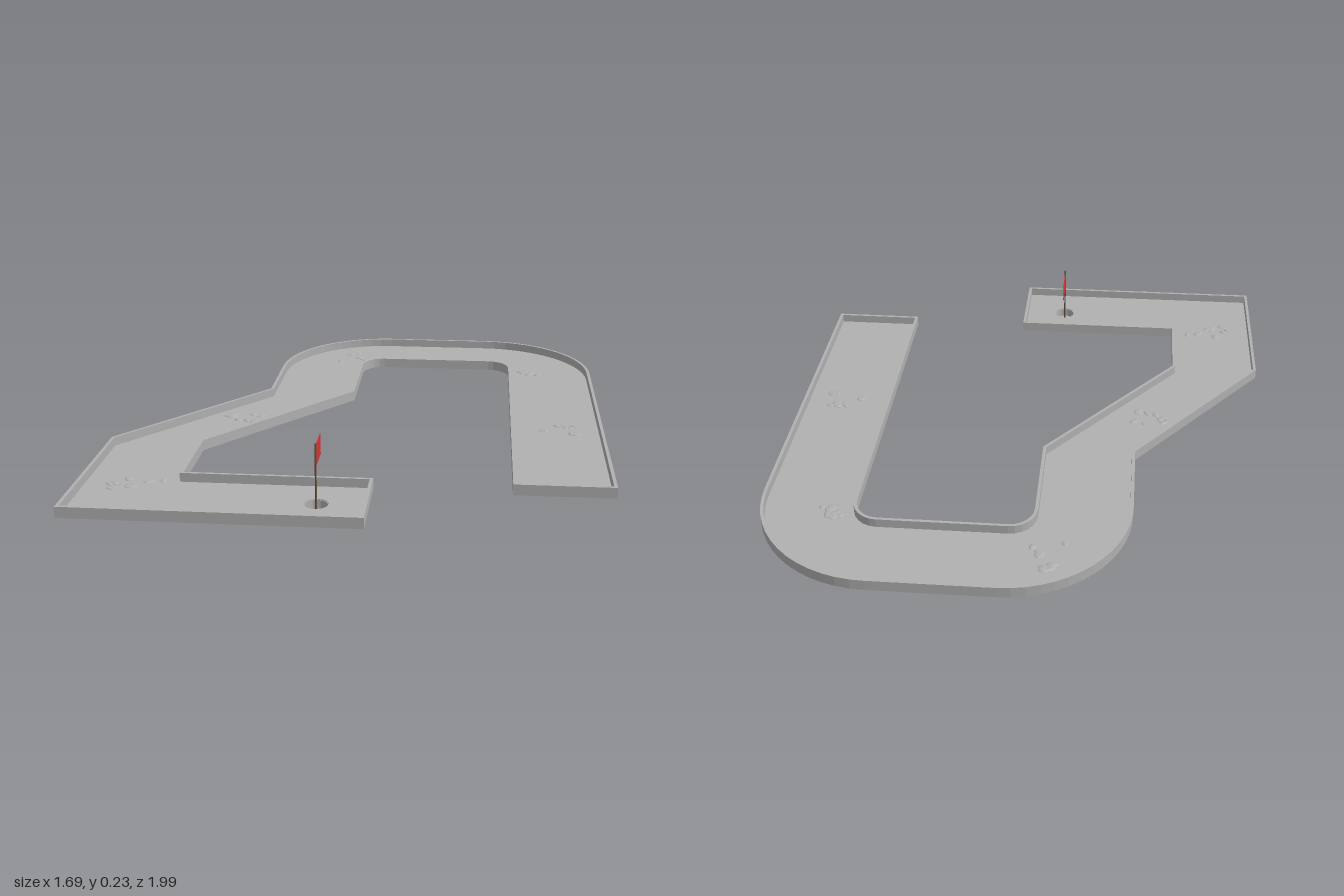
import * as THREE from 'three';
import { toCreasedNormals } from 'three/addons/utils/BufferGeometryUtils.js';

const BASE = 0.03, FLOOR = 0.036, RIM = 0.066, WALL = 0.011;
const CUP = { x: -0.08, z: 0.83, r: 0.04 };

const mat = (name, color, extra = {}) => {
  const m = new THREE.MeshStandardMaterial({ color, ...extra });
  m.name = name;
  return m;
};

// Points on a quarter ellipse, angles in degrees
function arc(cx, cy, rx, ry, from, to, n) {
  return Array.from({ length: n + 1 }, (_, i) => {
    const a = THREE.MathUtils.degToRad(from + (to - from) * i / n);
    return [cx + rx * Math.cos(a), cy + ry * Math.sin(a)];
  });
}

// Move a counter-clockwise outline inwards with mitred corners
function inset(pts, d) {
  return pts.map((p, i) => {
    const a = pts[(i + pts.length - 1) % pts.length];
    const b = pts[(i + 1) % pts.length];
    const u = p.clone().sub(a).normalize(), v = b.clone().sub(p).normalize();
    const n1 = new THREE.Vector2(-u.y, u.x), n2 = new THREE.Vector2(-v.y, v.x);
    const m = n1.clone().add(n2);
    return p.clone().addScaledVector(m, d / (1 + n1.dot(n2)));
  });
}

// Extrude a ground plan (x, -z) upwards between two heights
function slab(shape, y0, y1) {
  const g = new THREE.ExtrudeGeometry(shape, { depth: y1 - y0, bevelEnabled: false, curveSegments: 24 });
  return g.rotateX(-Math.PI / 2).translate(0, y0, 0);
}

export function createModel() {
  const group = new THREE.Group();
  const grey = mat('stone grey', 0xb0b0b0);
  const brown = mat('pole brown', 0x6b5238);
  const red = mat('flag red', 0xd63333, { side: THREE.DoubleSide });
  const add = (name, geometry, material, parent = group) => {
    const mesh = new THREE.Mesh(geometry, material);
    mesh.name = name;
    parent.add(mesh);
    return mesh;
  };

  // Winding course outline
  const outline = [
    [0.842, -0.69],
    ...arc(0.42, 0.55, 0.422, 0.447, 0, 90, 14),
    ...arc(0.02, 0.55, 0.41, 0.447, 90, 180, 14),
    [-0.39, 0.23], [-0.845, -0.37], [-0.845, -0.995], [0.082, -0.995],
    [0.082, -0.675], [-0.525, -0.675], [-0.525, -0.375], [-0.068, 0.225],
    ...arc(0.012, 0.59, 0.08, 0.09, 180, 90, 6),
    ...arc(0.44, 0.59, 0.08, 0.09, 90, 0, 6),
    [0.52, -0.69],
  ].map(([x, y]) => new THREE.Vector2(x, y));
  const inner = inset(outline, WALL);

  // Border wall
  const wall = new THREE.Shape(outline);
  wall.holes.push(new THREE.Path(inner));
  add('borderWall', slab(wall, BASE, RIM), grey);

  // Floor with the hole cut out
  const floor = new THREE.Shape(inner);
  floor.holes.push(new THREE.Path().absarc(CUP.x, -CUP.z, CUP.r - 0.001, 0, Math.PI * 2, true));
  add('floor', slab(floor, BASE, FLOOR), grey);

  // Hollow cup under the hole
  const profile = [[0, 0], [0.04, 0], [0.04, 0.034], [0.036, 0.034], [0.036, 0.004], [0, 0.004]]
    .map(([x, y]) => new THREE.Vector2(x, y));
  const cup = add('cup', toCreasedNormals(new THREE.LatheGeometry(profile, 32), 0.6), grey);
  cup.position.set(CUP.x, 0, CUP.z);

  // Pole and flag
  const pole = add('flagPole', new THREE.CylinderGeometry(0.003, 0.003, 0.228, 10), brown);
  pole.position.set(CUP.x, 0.118, CUP.z);
  const flag = add('flag', new THREE.BoxGeometry(0.002, 0.069, 0.115), red);
  flag.position.set(CUP.x, 0.19, CUP.z - 0.06);

  // Patches of shallow bumps: centre x, z and half extents
  let seed = 7;
  const rnd = () => (seed = (seed * 16807) % 2147483647) / 2147483647;
  const patches = [
    [-0.12, -0.82, 0.055, 0.11], [0.61, -0.63, 0.06, 0.04], [0.7, 0.07, 0.06, 0.055],
    [-0.45, 0.0, 0.07, 0.08], [-0.69, 0.71, 0.12, 0.05],
  ];
  const dome = new THREE.SphereGeometry(1, 12, 4, 0, Math.PI * 2, 0, Math.PI / 2);
  const bumps = new THREE.Group();
  bumps.name = 'floorBumps';
  group.add(bumps);
  for (const [x, z, w, d] of patches) {
    for (let i = 0; i < 8; i++) {
      const bump = add('bump', dome, grey, bumps);
      bump.position.set(x + (rnd() * 2 - 1) * w, FLOOR - 0.0005, z + (rnd() * 2 - 1) * d);
      bump.scale.set(0.01 + rnd() * 0.014, 0.004, 0.008 + rnd() * 0.014);
      bump.rotation.y = rnd() * Math.PI;
    }
  }
  return group;
}
